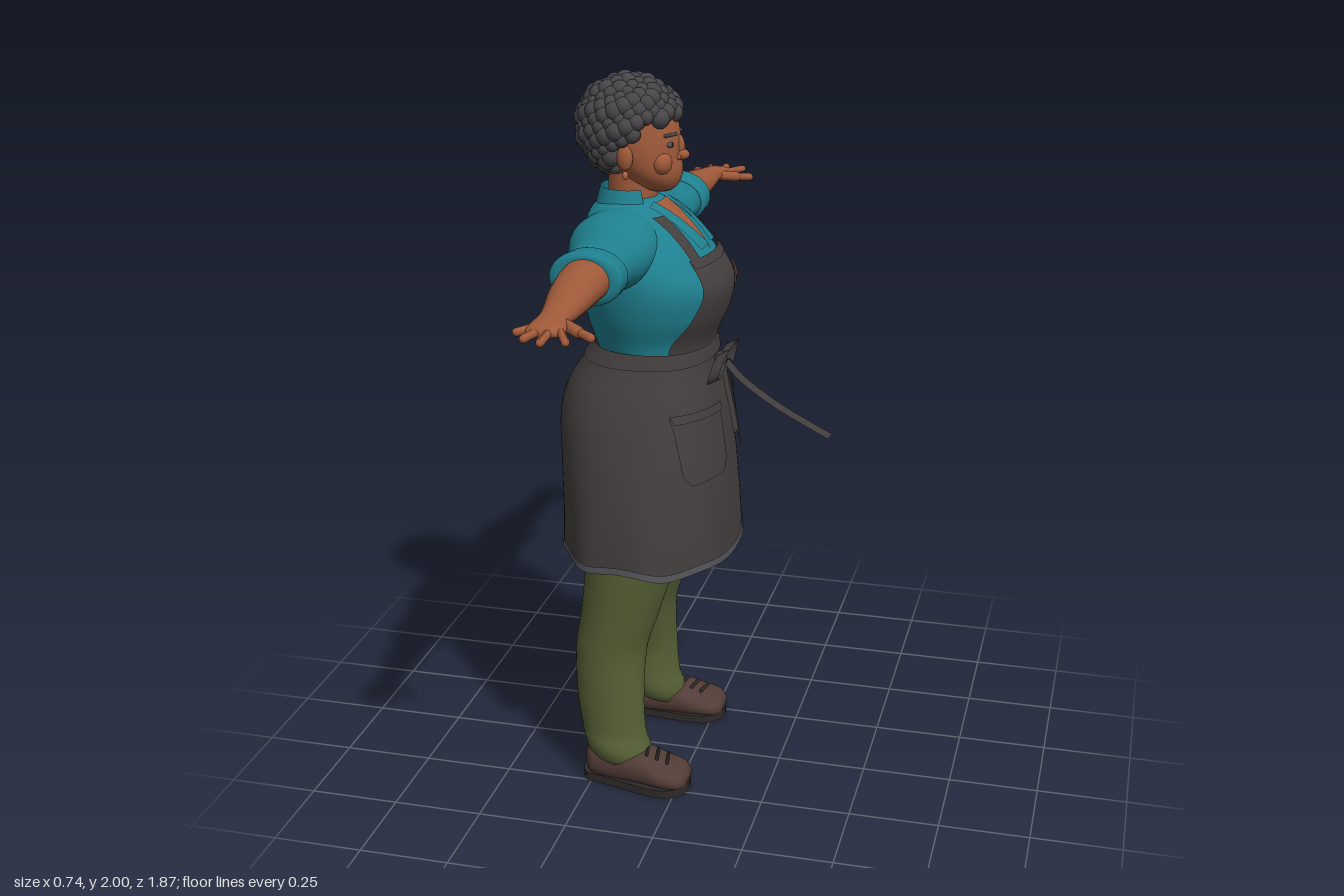
import * as THREE from 'three';

const mat = (name, color, thin) => {
  const m = new THREE.MeshStandardMaterial({ color, side: thin ? THREE.DoubleSide : THREE.FrontSide });
  m.name = name;
  return m;
};
const M = {
  skin: mat('skin', 0xa05a3a, true), shirt: mat('teal shirt', 0x1f808f, true),
  apron: mat('charcoal apron', 0x433e3e, true), hem: mat('grey trim', 0x55545a, true),
  hair: mat('hair', 0x474548), trousers: mat('olive trousers', 0x565f35, true),
  shoe: mat('brown shoe', 0x523c37), sole: mat('dark sole', 0x2f2a2a),
  lips: mat('lips', 0x8a4034), flower: mat('flower', 0xb5674a, true),
};

// Smooth interpolation of rows keyed by their first number
function at(rows, t) {
  let i = 0;
  while (i < rows.length - 2 && t > rows[i + 1][0]) i++;
  const a = rows[i], b = rows[i + 1], p = rows[i - 1] || a, q = rows[i + 2] || b;
  const h = b[0] - a[0], k = (t - a[0]) / h, k2 = k * k, k3 = k2 * k;
  return a.map((_, c) => (2 * k3 - 3 * k2 + 1) * a[c] + (3 * k2 - 2 * k3) * b[c]
    + (k3 - 2 * k2 + k) * h * (b[c] - p[c]) / (b[0] - p[0])
    + (k3 - k2) * h * (q[c] - a[c]) / (q[0] - a[0]));
}

function surface(name, material, pos, index) {
  const g = new THREE.BufferGeometry();
  g.setAttribute('position', new THREE.Float32BufferAttribute(pos, 3));
  g.setIndex(index);
  g.computeVertexNormals();
  return part(name, material, g);
}
function part(name, material, geometry, x = 0, y = 0, z = 0) {
  const m = new THREE.Mesh(geometry.translate(x, y, z), material);
  m.name = name;
  return m;
}

// Elliptical cross-sections [key, centre, centre, radius, radius] along an axis
function loft(name, material, rows, { axis = 'y', sides = 40, p = 1, cap = true, grow = 0,
  from = rows[0][0], to = rows.at(-1)[0], steps = rows.length * 5, arc = 0, warp } = {}) {
  const pos = [], index = [], n = sides, v = new THREE.Vector3();
  const put = (k, s, c) => {
    if (axis === 'y') v.set(s, k, c); else if (axis === 'x') v.set(k, c, s); else v.set(c, s, k);
  };
  const bend = (f) => Math.sign(f) * Math.abs(f) ** p;
  for (let i = 0; i <= steps; i++) {
    const [k, s0, c0, rs, rc] = at(rows, from + (to - from) * i / steps);
    for (let j = 0; j < n; j++) {
      const a = arc + (2 * Math.PI - 2 * arc) * j / (arc ? n - 1 : n);
      put(k, s0 + (rs + grow) * bend(Math.sin(a)), c0 + (rc + grow) * bend(Math.cos(a)));
      if (warp) warp(v, a);
      pos.push(v.x, v.y, v.z);
      if (i < steps && !(arc && j === n - 1)) {
        const o = i * n + j, r = i * n + (j + 1) % n;
        index.push(o, r, o + n, r, r + n, o + n);
      }
    }
  }
  if (cap && !arc) for (const [i, e] of [[0, rows[0]], [steps, rows.at(-1)]]) {
    put(e[0], e[1], e[2]);
    const c = pos.length / 3;
    if (warp) warp(v, 0);
    pos.push(v.x, v.y, v.z);
    for (let j = 0; j < n; j++) {
      const o = i * n + j, r = i * n + (j + 1) % n;
      index.push(...(i ? [c, o, r] : [c, r, o]));
    }
  }
  return surface(name, material, pos, index);
}

// Grid of points from f(u, v)
function sheet(name, material, f, nu = 16, nv = 10) {
  const pos = [], index = [], w = nu + 1;
  for (let j = 0; j <= nv; j++) for (let i = 0; i <= nu; i++) {
    pos.push(...f(i / nu, j / nv));
    const o = j * w + i;
    if (i < nu && j < nv) index.push(o, o + 1, o + w, o + 1, o + w + 1, o + w);
  }
  return surface(name, material, pos, index);
}
// Cloth panel lying on the front of a lofted body; f gives x, y
const panel = (name, material, rows, p, off, f, nu, nv) => sheet(name, material, (u, v) => {
  const [x, y] = f(u, v), [, x0, z0, rx, rz] = at(rows, y);
  const q = Math.min(1, Math.abs((x - x0) / (rx + off)));
  return [x, y, z0 + (rz + off) * (1 - q ** (2 / p)) ** (p / 2)];
}, nu, nv);
const ribbon = (name, pts, [wx, wy, wz]) => {
  const c = new THREE.CatmullRomCurve3(pts.map((q) => new THREE.Vector3(...q)));
  return sheet(name, M.apron, (u, v) => {
    const q = c.getPoint(u), k = v - 0.5;
    return [q.x + wx * k, q.y + wy * k, q.z + wz * k];
  }, 24, 1);
};
const ball = (name, material, x, y, z, rx, ry, rz) =>
  part(name, material, new THREE.SphereGeometry(1, 16, 12).scale(rx, ry, rz), x, y, z);
function rod(name, material, a, b, r) {
  const A = new THREE.Vector3(...a), B = new THREE.Vector3(...b), d = B.clone().sub(A);
  const g = new THREE.CapsuleGeometry(r, d.length(), 4, 10);
  g.applyQuaternion(new THREE.Quaternion().setFromUnitVectors(new THREE.Vector3(0, 1, 0), d.normalize()));
  return part(name, material, g, ...A.add(B).multiplyScalar(0.5).toArray());
}
function mirrored(mesh) {
  const g = mesh.geometry.clone().scale(-1, 1, 1), ix = g.index.array;
  for (let i = 0; i < ix.length; i += 3) [ix[i], ix[i + 1]] = [ix[i + 1], ix[i]];
  g.computeVertexNormals();
  return part(mesh.name, mesh.material, g);
}
const mix = (a, b, t) => a + (b - a) * t;

const TORSO = [[1.25, 0, -.115, .185, .15], [1.3, 0, -.12, .195, .165], [1.37, 0, -.115, .22, .19],
  [1.45, 0, -.115, .235, .2], [1.52, 0, -.135, .23, .178], [1.58, 0, -.155, .195, .148],
  [1.63, 0, -.175, .145, .115], [1.67, 0, -.18, .075, .07]];
const SKIRT = [[.69, 0, -.122, .335, .238], [.8, 0, -.125, .325, .235], [.95, 0, -.135, .3, .232],
  [1.08, 0, -.145, .268, .226], [1.16, 0, -.142, .24, .208], [1.22, 0, -.13, .212, .182], [1.27, 0, -.115, .192, .16]];

export function createModel() {
  const model = new THREE.Group(), body = new THREE.Group();
  model.name = 'cook';
  body.name = 'figure';
  model.add(body);
  const add = (...m) => body.add(...m);
  const pair = (...ms) => ms.forEach((m) => add(m, mirrored(m)));

  // Shirt with open collar
  add(loft('shirtBody', M.shirt, TORSO, { sides: 56 }));
  add(panel('openNeck', M.skin, TORSO, 1, .005, (u, v) => [(u - .5) * mix(.004, .1, v), mix(1.535, 1.66, v)]));
  add(loft('collarStand', M.shirt, [[1.63, 0, -.18, .105, .1], [1.66, 0, -.183, .092, .09], [1.695, 0, -.185, .08, .078]], { arc: .9 }));
  pair(panel('collarFlap', M.shirt, TORSO, 1, .015,
    (u, v) => [mix(mix(.012, .055, v), mix(.07, .085, v), u), mix(mix(1.55, 1.665, v), mix(1.545, 1.655, v), u)]));
  pair(loft('sleeve', M.shirt, [[.04, -.18, 1.56, .1, .09], [.15, -.185, 1.563, .12, .09], [.24, -.18, 1.55, .108, .085],
    [.32, -.174, 1.555, .092, .073], [.4, -.17, 1.556, .084, .062]], { axis: 'x' }));
  pair(loft('sleeveCuff', M.shirt, [[.39, -.17, 1.556, .078, .055], [.4, -.17, 1.557, .093, .068],
    [.435, -.17, 1.558, .095, .072], [.465, -.17, 1.56, .093, .07], [.475, -.17, 1.56, .072, .058]], { axis: 'x' }));

  // Arms, palms and fingers
  pair(loft('arm', M.skin, [[.42, -.168, 1.557, .066, .056], [.5, -.168, 1.558, .063, .055], [.6, -.165, 1.553, .057, .045],
    [.7, -.157, 1.55, .045, .034], [.765, -.153, 1.55, .038, .025], [.81, -.15, 1.548, .044, .02],
    [.85, -.148, 1.545, .048, .016], [.868, -.148, 1.544, .036, .01]], { axis: 'x', sides: 28 }));
  [[.855, -.108, .908, -.08], [.862, -.134, .925, -.135], [.86, -.162, .905, -.181], [.84, -.184, .86, -.213]]
    .forEach(([x, z, X, Z]) => pair(rod('finger', M.skin, [x - .02, 1.546, mix(z, -.15, .2)], [X, 1.542, Z], .0105)));
  pair(rod('thumb', M.skin, [.785, 1.546, -.125], [.815, 1.538, -.078], .015),
    rod('thumbTip', M.skin, [.81, 1.539, -.085], [.838, 1.534, -.042], .0115));

  // Neck, head and face
  add(loft('neck', M.skin, [[1.6, 0, -.175, .07, .07], [1.66, 0, -.176, .067, .067], [1.78, 0, -.17, .066, .07]]));
  add(loft('head', M.skin, [[1.683, 0, -.1, .02, .018], [1.694, 0, -.103, .048, .045], [1.73, 0, -.123, .085, .082],
    [1.78, 0, -.152, .106, .108], [1.83, 0, -.17, .112, .124], [1.89, 0, -.18, .108, .12], [1.94, 0, -.18, .08, .09], [1.97, 0, -.18, .03, .03]]));
  add(ball('noseBridge', M.skin, 0, 1.803, -.05, .013, .034, .018), ball('noseTip', M.skin, 0, 1.783, -.04, .019, .015, .02));
  add(ball('upperLip', M.lips, 0, 1.744, -.053, .029, .006, .012), ball('lowerLip', M.lips, 0, 1.735, -.053, .022, .007, .013));
  add(ball('chin', M.skin, 0, 1.703, -.083, .034, .02, .025));
  pair(ball('nostril', M.skin, .015, 1.779, -.052, .011, .01, .014), ball('cheek', M.skin, .055, 1.77, -.083, .036, .034, .03),
    ball('eye', M.hem, .045, 1.817, -.061, .018, .009, .008), ball('pupil', M.sole, .045, 1.817, -.055, .007, .007, .004),
    rod('eyebrow', M.hair, [.026, 1.842, -.05], [.066, 1.843, -.068], .0045),
    ball('ear', M.skin, .114, 1.79, -.165, .014, .034, .022), ball('earring', M.flower, .119, 1.745, -.163, .008, .011, .008));

  // Curly hair
  add(ball('hairBase', M.hair, 0, 1.882, -.203, .122, .1, .118), ball('hairNape', M.hair, 0, 1.82, -.225, .105, .09, .085));
  const curls = 250;
  for (let i = 0; i < curls; i++) {
    const h = 1 - 2 * (i + .5) / curls, r = Math.sqrt(1 - h * h), a = i * 2.39996;
    const x = .126 * r * Math.sin(a), z = -.183 + .126 * r * Math.cos(a), y = 1.862 + (h > 0 ? .11 : .13) * h;
    const low = z > -.12 ? 1.885 : z > -.19 ? 1.835 : 1.745;
    if (y < low) continue;
    const s = .0235 + .004 * Math.sin(i * 7.3);
    add(part('curl', M.hair, new THREE.SphereGeometry(s, 10, 8), x, y, z));
  }

  // Apron skirt with soft folds toward the hem
  const folds = (v, a) => {
    const f = Math.max(0, (.98 - v.y) / .3), s = 1 + .012 * f * Math.sin(9 * a + 1);
    v.x *= s;
    v.z = -.13 + (v.z + .13) * s;
    v.y += f * (.007 * Math.sin(7 * a) - .012 * Math.cos(a) + .003);
  };
  const cloth = { p: .86, cap: false, sides: 96, warp: folds };
  add(loft('apronSkirt', M.apron, SKIRT, cloth));
  add(loft('skirtHem', M.hem, SKIRT, { ...cloth, grow: .004, from: .688, to: .708, steps: 3 }));
  add(loft('waistband', M.apron, SKIRT, { ...cloth, grow: .008, from: 1.24, to: 1.28, steps: 4 }));
  pair(panel('pocket', M.apron, SKIRT, .86, .012, (u, v) => {
    const round = .02 * Math.max(0, 1 - v * 6);
    return [mix(.075 + round, .255 - .02 * v - round, u), mix(.935, 1.125, v)];
  }, 16, 18));
  pair(panel('pocketEdge', M.apron, SKIRT, .86, .017, (u, v) => [mix(.075, .238, u), mix(1.105, 1.128, v)], 16, 2));

  // Bib, straps and flower patch
  const BIB = [[1.26, .172], [1.31, .178], [1.37, .168], [1.45, .148], [1.53, .138]];
  add(panel('bib', M.apron, TORSO, 1, .012, (u, v) => [(2 * u - 1) * at(BIB, mix(1.26, 1.53, v))[1], mix(1.26, 1.53, v)], 28, 20));
  add(panel('bibEdge', M.apron, TORSO, 1, .016, (u, v) => [(2 * u - 1) * .139, mix(1.51, 1.532, v)], 28, 2));
  pair(panel('strap', M.apron, TORSO, 1, .017, (u, v) => [mix(.122, .098, v) + (u - .5) * .036, mix(1.515, 1.635, v)], 4, 12));
  add(panel('flowerLeaves', M.trousers, TORSO, 1, .016, (u, v) =>
    [.103 + .033 * v * Math.cos(u * 6.2832), 1.428 + .018 * v * Math.sin(u * 6.2832)], 24, 3));
  add(panel('flowerBloom', M.flower, TORSO, 1, .02, (u, v) => {
    const a = u * 2 * Math.PI, r = .033 * v * (1 + .08 * Math.cos(6 * a));
    return [.107 + r * Math.cos(a), 1.462 + r * Math.sin(a)];
  }, 36, 3));

  // Bow with two tails, one flying forward
  add(ball('bowKnot', M.apron, 0, 1.222, .068, .022, .022, .018));
  pair(ribbon('bowLoop', [[0, 1.23, .07], [.05, 1.258, .088], [.092, 1.235, .08], [.098, 1.195, .07],
    [.075, 1.18, .068], [.04, 1.2, .072], [0, 1.218, .07]], [0, .018, .032]));
  add(ribbon('shortTail', [[-.005, 1.215, .075], [-.015, 1.15, .09], [-.022, 1.08, .107], [-.027, 1.025, .118]], [.038, 0, .004]));
  add(ribbon('longTail', [[.01, 1.22, .075], [.022, 1.16, .125], [.03, 1.09, .22], [.033, 1.04, .31], [.033, 1.01, .37]], [.042, 0, .004]));

  // Trousers with slumped folds and cuffs
  pair(loft('trouserLeg', M.trousers, [[.075, .2, -.182, .072, .088], [.115, .198, -.183, .083, .097], [.15, .194, -.194, .077, .093],
    [.25, .19, -.205, .077, .096], [.4, .165, -.207, .097, .102], [.5, .155, -.185, .108, .11],
    [.68, .148, -.15, .117, .13], [.85, .135, -.14, .125, .15], [1, .1, -.14, .11, .15]], {
    warp: (v, a) => { if (v.y < .3) v.y -= .022 * Math.cos(a) * (.3 - v.y) / .2; },
  }));

  // Shoes, soles and laces
  pair(loft('shoe', M.shoe, [[-.27, .205, .06, .03, .035], [-.25, .205, .062, .056, .05], [-.18, .208, .06, .063, .058],
    [-.1, .214, .055, .07, .05], [-.04, .22, .045, .075, .036], [.01, .222, .038, .066, .028], [.03, .222, .032, .04, .016]]
    .map(([z, x, y, rx, ry]) => [z, y, x, ry, rx]), { axis: 'z', p: .85, sides: 28, warp: (v) => { v.y = Math.max(v.y, .018); } }));
  const sole = new THREE.Shape();
  sole.moveTo(.16, .275).bezierCurveTo(.16, .29, .25, .29, .255, .25);
  sole.bezierCurveTo(.265, .17, .3, .1, .3, .04).bezierCurveTo(.3, -.06, .145, -.06, .142, .04);
  sole.bezierCurveTo(.142, .12, .155, .18, .152, .25).lineTo(.16, .275);
  const soleGeo = new THREE.ExtrudeGeometry(sole, { depth: .024, bevelEnabled: false, curveSegments: 12 }).rotateX(-Math.PI / 2);
  // The outline runs heel to toe along -y, so the turn puts the toe at +z
  soleGeo.setIndex([...Array(soleGeo.attributes.position.count).keys()]);
  pair(part('sole', M.sole, soleGeo));
  for (let i = 0; i < 3; i++) {
    const z = -.095 + i * .03, y = .107 - i * .009;
    pair(rod('lace', M.sole, [.192, y - .004, z], [.242, y - .006, z + .008], .005));
  }

  // Turn the figure to face +x
  body.rotation.y = Math.PI / 2;
  return model;
}
